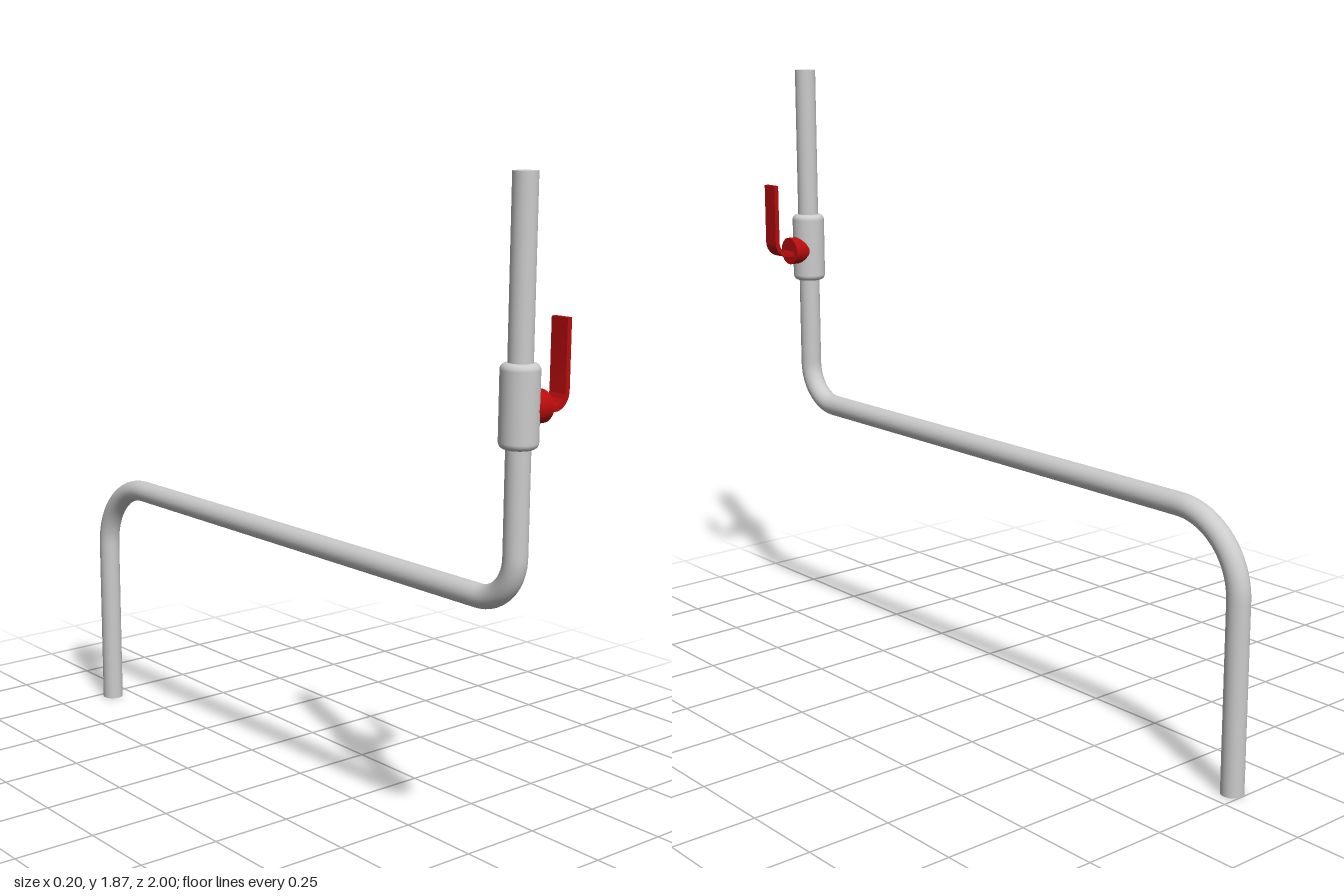
import * as THREE from 'three';
import { toCreasedNormals } from 'three/addons/utils/BufferGeometryUtils.js';

const PIPE_R = 0.033;
const V = (x, y, z) => new THREE.Vector3(x, y, z);

// Path through corner points, each inner corner rounded by a quarter-circle bend.
function filletPath(corners, radii) {
  const path = new THREE.CurvePath();
  const k = 0.5523;
  let last = corners[0];
  for (let i = 1; i < corners.length - 1; i++) {
    const c = corners[i], r = radii[i - 1];
    const a = corners[i - 1].clone().sub(c).normalize();
    const b = corners[i + 1].clone().sub(c).normalize();
    const at = (dir, t) => c.clone().addScaledVector(dir, t);
    path.add(new THREE.LineCurve3(last, at(a, r)));
    path.add(new THREE.CubicBezierCurve3(at(a, r), at(a, r * (1 - k)), at(b, r * (1 - k)), at(b, r)));
    last = at(b, r);
  }
  path.add(new THREE.LineCurve3(last, corners[corners.length - 1]));
  return path;
}

export function createModel() {
  const group = new THREE.Group();
  const grey = new THREE.MeshStandardMaterial({ color: 0xcccccc });
  const red = new THREE.MeshStandardMaterial({ color: 0xb80c0c });
  const add = (name, geometry, material, x = 0, y = 0, z = 0) => {
    const mesh = new THREE.Mesh(geometry, material);
    mesh.name = name;
    mesh.position.set(x, y, z);
    group.add(mesh);
    return mesh;
  };

  // Bent pipe, from the open top down and back to the floor
  const fx = -0.05, fz = 0.948, bx = -0.067, bz = -0.967, runY = 0.768;
  const path = filletPath(
    [V(fx, 1.873, fz), V(fx, runY, fz), V(bx, runY, bz), V(bx, 0, bz)],
    [0.13, 0.22]
  );
  add('pipe', new THREE.TubeGeometry(path, 240, PIPE_R, 32, false), grey);
  add('pipeTopCap', new THREE.CircleGeometry(PIPE_R, 32), grey, fx, 1.873, fz).rotation.x = -Math.PI / 2;
  add('pipeBottomCap', new THREE.CircleGeometry(PIPE_R, 32), grey, bx, 0, bz).rotation.x = Math.PI / 2;

  // Valve body: a sleeve with rounded rims
  const bodyR = 0.052, halfH = 0.11, round = 0.018;
  const profile = [new THREE.Vector2(0.02, -halfH)];
  for (const side of [-1, 1]) {
    for (let i = 0; i <= 6; i++) {
      const t = (side < 0 ? i - 6 : i) / 6 * Math.PI / 2;
      profile.push(new THREE.Vector2(
        bodyR - round + round * Math.cos(t),
        side * (halfH - round) + round * Math.sin(t)
      ));
    }
  }
  profile.push(new THREE.Vector2(0.02, halfH));
  add('valveBody', new THREE.LatheGeometry(profile, 40), grey, fx, 1.291, fz);

  // Round stem boss on the side of the valve
  const bossY = 1.283;
  add('handleBoss', new THREE.CylinderGeometry(0.044, 0.044, 0.07, 32), red, -0.006, bossY, fz)
    .rotation.z = Math.PI / 2;

  // Flat lever: a strip that leaves the boss and bends upward
  const t = 0.015, outer = 0.05, x0 = 0.015, x1 = 0.101, y0 = 1.268, y1 = 1.505, width = 0.056;
  const strip = new THREE.Shape();
  strip.moveTo(x0, y0);
  strip.lineTo(x1 - outer, y0);
  strip.absarc(x1 - outer, y0 + outer, outer, -Math.PI / 2, 0, false);
  strip.lineTo(x1, y1);
  strip.lineTo(x1 - t, y1);
  strip.lineTo(x1 - t, y0 + outer);
  strip.absarc(x1 - outer, y0 + outer, outer - t, 0, -Math.PI / 2, true);
  strip.lineTo(x0, y0 + t);
  strip.closePath();
  const lever = new THREE.ExtrudeGeometry(strip, { depth: width, bevelEnabled: false, curveSegments: 12 });
  add('handleLever', toCreasedNormals(lever, 0.6), red, 0, 0, fz - width / 2);

  return group;
}
